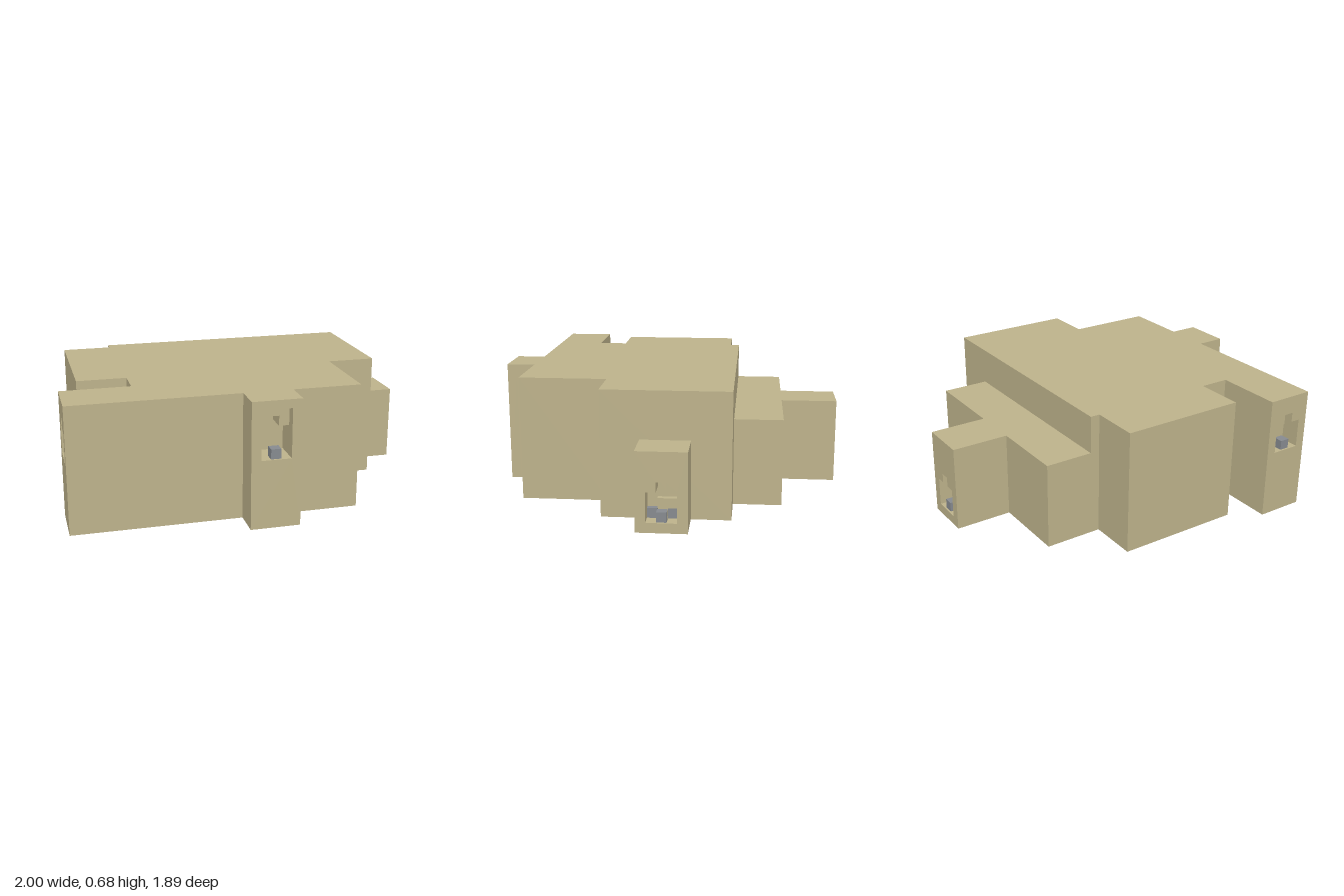
import * as THREE from 'three';

const sand = new THREE.MeshStandardMaterial({ color: 0xbdb28b });
sand.name = 'sand';
const grey = new THREE.MeshStandardMaterial({ color: 0x868a8f });
grey.name = 'grey';

const U = 0.0527; // one small block
const BASE = 0.002; // the walls start just above the underside plates
const DEPTH = 0.105; // depth of a port recess

function add(parent, name, geometry, material) {
  const mesh = new THREE.Mesh(geometry, material);
  mesh.name = name;
  parent.add(mesh);
  return mesh;
}

function box(parent, name, material, x0, x1, y0, y1, z0, z1) {
  const m = add(parent, name, new THREE.BoxGeometry(x1 - x0, y1 - y0, z1 - z0), material);
  m.position.set((x0 + x1) / 2, (y0 + y1) / 2, (z0 + z1) / 2);
  return m;
}

const toPoints = (pairs) => pairs.map(([x, y]) => new THREE.Vector2(x, y));

// Walls that stand on a plan given as x, z corners
function block(parent, name, plan, height) {
  const shape = new THREE.Shape(toPoints(plan.map(([x, z]) => [x, -z])));
  const geo = new THREE.ExtrudeGeometry(shape, { depth: height - BASE, bevelEnabled: false });
  geo.rotateX(-Math.PI / 2).translate(0, BASE, 0);
  return add(parent, name, geo, sand);
}

// Wall panel with an opening cut through it
function frame(parent, name, width, height, hole, zFront, depth) {
  const w = width / 2;
  const shape = new THREE.Shape(toPoints([[-w, BASE], [w, BASE], [w, height], [-w, height]]));
  shape.holes.push(new THREE.Path(toPoints(hole)));
  const geo = new THREE.ExtrudeGeometry(shape, { depth, bevelEnabled: false });
  geo.translate(0, 0, zFront - depth);
  return add(parent, name, geo, sand);
}

// Stepped opening: three blocks wide with one block on top
function steppedHole(y) {
  const a = 1.5 * U, b = 0.5 * U;
  return [[-a, y], [-a, y + 3 * U], [-b, y + 3 * U], [-b, y + 4 * U],
    [b, y + 4 * U], [b, y + 3 * U], [a, y + 3 * U], [a, y]];
}

// Port facing local +z, with its face at z = 0
function port(parent, name, { x, z, turn, width, height, sill, outer = 0 }) {
  const group = new THREE.Group();
  group.name = name;
  group.position.set(x, 0, z);
  group.rotation.y = turn;
  parent.add(group);
  if (outer) {
    const a = 1.5 * U, top = sill + 5 * U;
    frame(group, 'outerFrame', width, height, [[-a, sill], [-a, top], [a, top], [a, sill]], 0, outer);
  }
  frame(group, 'innerFrame', width, height, steppedHole(sill), -outer, DEPTH - (outer ? 0.003 : 0));
  box(group, 'portBlock', grey, -U / 2, U / 2, sill, sill + U, -0.01 - U, -0.01);
  return group;
}

export function createModel() {
  const model = new THREE.Group();
  model.name = 'building';

  // Tall main hall with its side wings
  block(model, 'mainHall', [
    [-0.63, -0.37], [0.785, -0.37], [0.785, 0.31], [0.525, 0.31], [0.525, 0.785],
    [-1 + DEPTH, 0.785], [-1 + DEPTH, 0.525], [-0.63, 0.525], [-0.63, 0.365],
    [-0.895, 0.365], [-0.895, -0.318], [-0.63, -0.318],
  ], 0.68);

  // Lower rear wing with the root of its porch
  block(model, 'rearWing', [
    [-0.63, -0.37], [-0.63, -0.632], [-0.21, -0.632], [-0.21, -0.945 + DEPTH],
    [0.05, -0.945 + DEPTH], [0.05, -0.632], [0.525, -0.632], [0.525, -0.37],
  ].reverse(), 0.475);

  // Root of the right porch
  block(model, 'sidePorch', [
    [0.785, -0.16], [1 - DEPTH, -0.16], [1 - DEPTH, 0.105], [0.785, 0.105],
  ], 0.423);

  // Ports at the ends of the four arms
  port(model, 'frontPort', { x: 0.026, z: 0.942, turn: 0, width: 0.263, height: 0.68, sill: 0.37, outer: 0.055 });
  port(model, 'rearPort', { x: -0.08, z: -0.945, turn: Math.PI, width: 0.26, height: 0.475, sill: 0.055 });
  port(model, 'wingPort', { x: -1, z: 0.655, turn: -Math.PI / 2, width: 0.26, height: 0.68, sill: 0.37 });
  const side = port(model, 'sidePort',
    { x: 1, z: -0.0275, turn: Math.PI / 2, width: 0.265, height: 0.423, sill: 0.055 });

  // Blocks at the back of the side port
  for (const s of [-1, 1]) {
    box(side, 'rearBlock', grey, s * U - U / 2, s * U + U / 2, 0.055, 0.055 + U, -DEPTH, -DEPTH + 0.03);
  }
  box(side, 'step', sand, -U / 2, 1.5 * U, 0.055 + U, 0.055 + 2 * U, -DEPTH, -DEPTH + 0.03);

  // Grey ring and studs on the underside
  const r = 0.073, h = 0.026;
  const ring = new THREE.Shape(toPoints([[-r, -r], [r, -r], [r, r], [-r, r]]));
  ring.holes.push(new THREE.Path(toPoints([[-h, -h], [-h, h], [h, h], [h, -h]])));
  const ringGeo = new THREE.ExtrudeGeometry(ring, { depth: 0.004, bevelEnabled: false });
  ringGeo.rotateX(-Math.PI / 2);
  add(model, 'undersideRing', ringGeo, grey).position.set(0.395, 0, -0.132);
  for (const [x, z] of [[0.39, -0.5], [-0.5, -0.2]]) {
    box(model, 'undersideStud', grey, x - 0.014, x + 0.014, 0, 0.004, z - 0.014, z + 0.014);
  }
  return model;
}
